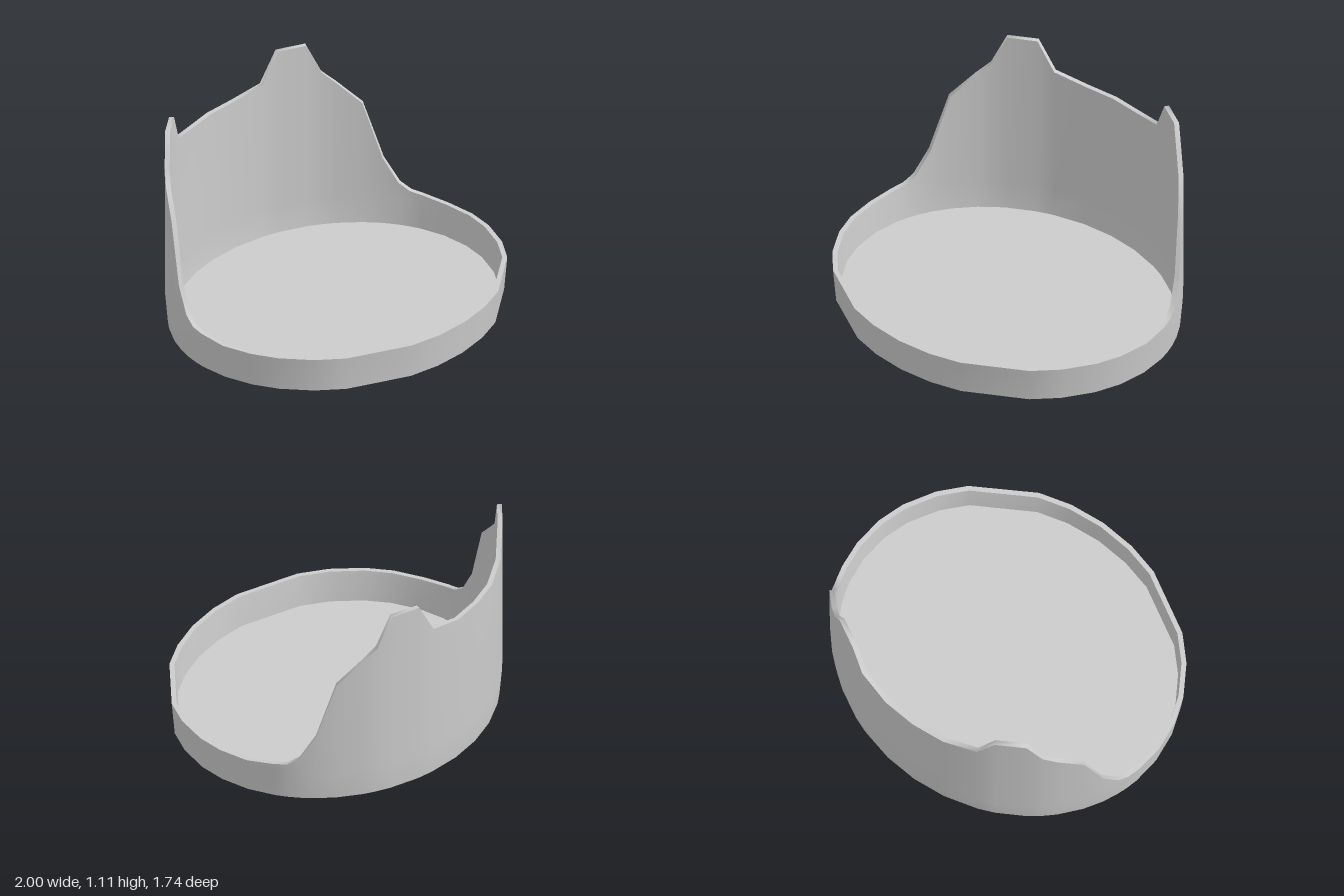
import * as THREE from 'three';

const RX = 1, RZ = 0.868;          // outer half-axes of the oval plan
const FLOOR_Y = 0.015, FLOOR_INSET = 0.045;

// Half of the rim, front centre to back centre: [x, side of z, rim height]
const half = [
  [0, 1, 0.195], [0.2, 1, 0.195], [0.38, 1, 0.195], [0.71, 1, 0.195], [0.83, 1, 0.195],
  [0.93, 1, 0.195], [0.98, 1, 0.195], [1, 1, 0.195], [0.983, -1, 0.21], [0.965, -1, 0.22],
  [0.943, -1, 0.26], [0.905, -1, 0.4], [0.845, -1, 0.73], [0.75, -1, 0.86], [0.69, -1, 0.93],
  [0.62, -1, 1.108], [0.47, -1, 1.108], [0.38, -1, 0.93], [0.19, -1, 0.895], [0, -1, 0.895],
];

// Full loop of stations, mirrored in x
const stations = [
  ...half,
  ...half.slice(1, -1).reverse().map(([x, s, h]) => [-x, s, h]),
].map(([x, s, h]) => ({ cx: x, cz: s * Math.sqrt(Math.max(0, 1 - x * x)), h }));

// One loop around the oval: inset from the outline, height given by a rule
const loop = (inset, height) =>
  stations.map((p) => [p.cx * (RX - inset), height(p), p.cz * (RZ - inset)]);

// Closed band of quads through successive loops
function band(loops) {
  const n = stations.length, index = [];
  for (let r = 0; r < loops.length - 1; r++) {
    for (let i = 0; i < n; i++) {
      const j = (i + 1) % n;
      const a = r * n + i, b = r * n + j, c = b + n, d = a + n;
      index.push(a, b, c, a, c, d);
    }
  }
  const geo = new THREE.BufferGeometry();
  geo.setAttribute('position', new THREE.Float32BufferAttribute(loops.flat(2), 3));
  geo.setIndex(index);
  geo.computeVertexNormals();
  return geo;
}

export function createModel() {
  const group = new THREE.Group();
  const material = new THREE.MeshStandardMaterial({ color: 0xcccccc, side: THREE.DoubleSide });
  const add = (name, geo) => {
    const mesh = new THREE.Mesh(geo, material);
    mesh.name = name;
    group.add(mesh);
    return mesh;
  };

  const outerBottom = loop(0.017, () => 0);
  const outerMid = loop(0.002, () => 0.17);
  const outerTop = loop(0, (p) => p.h);
  const innerTop = loop(0.027, (p) => p.h);
  const innerMid = loop(0.03, () => 0.17);
  const innerBottom = loop(FLOOR_INSET, () => FLOOR_Y);

  // Wall: low at the front, rising to a back with two horns
  add('outerWall', band([outerBottom, outerMid, outerTop]));
  add('rim', band([outerTop, innerTop]));
  add('innerWall', band([innerTop, innerMid, innerBottom]));
  add('bottomEdge', band([innerBottom, outerBottom]));

  // Oval floor closing the wall
  const outline = new THREE.Shape(innerBottom.map(([x, , z]) => new THREE.Vector2(x, -z)));
  const floor = add('floor', new THREE.ShapeGeometry(outline).rotateX(-Math.PI / 2));
  floor.position.y = FLOOR_Y;

  return group;
}
